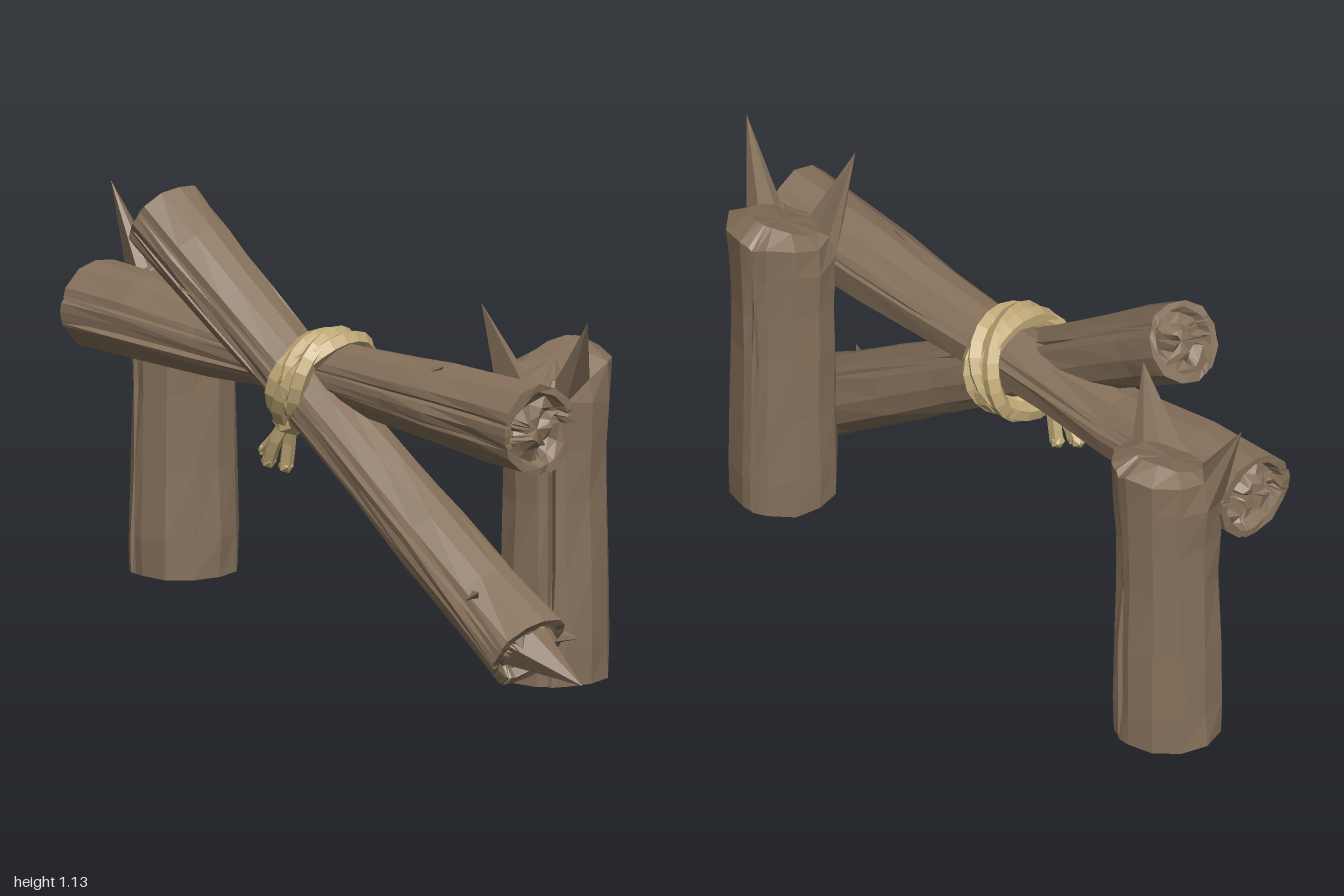
import * as THREE from 'three';

const wood = new THREE.MeshStandardMaterial({ color: 0x86715b });
wood.name = 'wood brown';
const straw = new THREE.MeshStandardMaterial({ color: 0xbfa876 });
straw.name = 'rope tan';

const V = (x, y, z) => new THREE.Vector3(x, y, z);

// seeded noise in -1..1
let seed = 7;
const noise = () => {
  seed = (seed * 16807) % 2147483647;
  return (seed / 2147483647) * 2 - 1;
};

function mesh(geometry, material, name) {
  const g = geometry.index ? geometry.toNonIndexed() : geometry;
  g.computeVertexNormals(); // faceted
  const m = new THREE.Mesh(g, material);
  m.name = name;
  return m;
}

// joins rings of equal length into one faceted skin
function skin(rings) {
  const pos = [];
  const tri = (a, b, c) => {
    if (a.distanceTo(b) < 1e-6 || b.distanceTo(c) < 1e-6 || c.distanceTo(a) < 1e-6) return;
    for (const p of [a, b, c]) pos.push(p.x, p.y, p.z);
  };
  for (let i = 0; i < rings.length - 1; i++) {
    const A = rings[i], B = rings[i + 1], n = A.length;
    for (let j = 0; j < n; j++) {
      const k = (j + 1) % n;
      tri(A[j], A[k], B[k]);
      tri(A[j], B[k], B[j]);
    }
  }
  const g = new THREE.BufferGeometry();
  g.setAttribute('position', new THREE.Float32BufferAttribute(pos, 3));
  return g;
}

// twelve columns round a log, plus three narrow ones for every crack
function columns(cracks) {
  const cols = [];
  for (let i = 0; i < 12; i++) cols.push({ a: (i * Math.PI) / 6, i });
  for (const [deg, from, to] of cracks) {
    const a = (deg * Math.PI) / 180;
    cols.push({ a: a - 0.07 }, { a, from, to }, { a: a + 0.07 });
  }
  return cols.sort((p, q) => p.a - q.a);
}
const groove = (c, t) => (c.from !== undefined && t >= c.from && t <= c.to ? 0.76 : 1);

// lying log through stations [x, y, z, radius], with hollowed rough ends
function log(stations, cracks, name) {
  const first = V(...stations[0]), last = V(...stations[stations.length - 1]);
  const d = last.clone().sub(first).normalize();
  const u = V(0, 0, 1).addScaledVector(d, -d.z).normalize();
  const v = d.clone().cross(u);
  const cols = columns(cracks);
  const ring = ([x, y, z, r], scale, shift, rough) => cols.map((c) => {
    const rr = r * scale * (1 + rough * noise());
    return V(x, y, z).addScaledVector(d, shift + rough * 0.08 * noise())
      .addScaledVector(u, Math.cos(c.a) * rr).addScaledVector(v, Math.sin(c.a) * rr);
  });
  const end = (s, sign) => [
    ring(s, 0, -sign * 0.01, 0), ring(s, 0.3, -sign * 0.004, 0.2), ring(s, 0.5, -sign * 0.035, 0.22),
    ring(s, 0.74, -sign * 0.03, 0.08), ring(s, 0.82, 0, 0.03),
  ];
  const body = stations.map((s, i) => {
    const t = i / (stations.length - 1);
    const pts = ring(s, 1, 0, 0.045);
    const c = V(s[0], s[1], s[2]);
    pts.forEach((p, j) => p.sub(c).multiplyScalar(groove(cols[j], t)).add(c));
    return pts;
  });
  return mesh(skin([...end(stations[0], -1), ...body, ...end(stations.at(-1), 1).reverse()]), wood, name);
}

// upright post; spikes maps a column number to a torn tip [x, y, z] from the post axis
function post(x, z, spikes, cracks, name) {
  const cols = columns(cracks);
  const at = (c, r, y) => V(x + Math.sin(c.a) * r, y, z + Math.cos(c.a) * r);
  const rows = [[0, 0.148], [0.1, 0.148], [0.3, 0.144], [0.5, 0.14], [0.64, 0.142], [0.77, 0.15]];
  const body = rows.map(([y, r], i) => cols.map((c) =>
    at(c, r * (1 + 0.03 * noise()) * groove(c, y), y + (i ? 0.012 * noise() : 0))));
  const back = (c) => (1 - Math.cos(c.a)) / 2;
  const rim = cols.map((c) => {
    const s = spikes[c.i];
    return s ? V(x + s[0], s[1], z + s[2]) : at(c, 0.12 + 0.038 * back(c), 0.82 + 0.05 * back(c) + 0.01 * noise());
  });
  const inner = cols.map((c) => at(c, 0.095, 0.825 + 0.08 * back(c) + 0.006 * noise()));
  const flat = (y) => cols.map(() => V(x, y, z));
  return mesh(skin([flat(0), ...body, rim, inner, flat(0.87)]), wood, name);
}

// faceted splinter from base to tip
function splinter(base, tip, r, name, sides = 5) {
  const a = V(...base), dir = V(...tip).sub(a);
  const g = new THREE.ConeGeometry(r, dir.length(), sides);
  g.translate(0, dir.length() / 2, 0);
  g.applyQuaternion(new THREE.Quaternion().setFromUnitVectors(V(0, 1, 0), dir.clone().normalize()));
  g.translate(a.x, a.y, a.z);
  return mesh(g, wood, name);
}

function rope() {
  const group = new THREE.Group();
  group.name = 'rope';
  // strands that cross each other while circling both logs
  for (let k = 0; k < 4; k++) {
    const pts = [];
    for (let i = 0; i < 12; i++) {
      const a = (i / 12) * Math.PI * 2;
      const side = 0.034 * Math.sin(a + (k * Math.PI) / 2);
      const swell = 1 + 0.06 * Math.cos(2 * a + k * 1.7);
      pts.push(V(-0.02 + 0.035 * Math.cos(a) + side, 0.692 + 0.122 * swell * Math.cos(a),
        0.085 + 0.136 * swell * Math.sin(a)));
    }
    const curve = new THREE.CatmullRomCurve3(pts, true);
    group.add(mesh(new THREE.TubeGeometry(curve, 22, 0.027, 5, true), straw, 'ropeStrand'));
  }
  // knot and frayed tail
  const knot = new THREE.IcosahedronGeometry(0.045, 0);
  knot.scale(1.2, 0.8, 1);
  knot.translate(-0.07, 0.582, 0.16);
  group.add(mesh(knot, straw, 'ropeKnot'));
  for (const [dx, dy, dz] of [[-0.035, 0.02, 0], [0, 0, 0.02], [0.035, -0.012, -0.01]]) {
    const curve = new THREE.CatmullRomCurve3([
      V(-0.075, 0.59, 0.16), V(-0.11 + dx * 0.5, 0.53, 0.155 + dz), V(-0.145 + dx, 0.462 + dy, 0.15 + dz)]);
    group.add(mesh(new THREE.TubeGeometry(curve, 4, 0.02, 5), straw, 'ropeTail'));
    const cap = new THREE.IcosahedronGeometry(0.022, 0);
    cap.translate(-0.145 + dx, 0.464 + dy, 0.15 + dz);
    group.add(mesh(cap, straw, 'ropeTailEnd'));
  }
  return group;
}

export function createModel() {
  seed = 7;
  const model = new THREE.Group();
  model.name = 'logBarrier';

  // posts with torn tops
  model.add(post(-0.785, -0.095, { 2: [0.175, 1.05, 0.075], 10: [-0.215, 1.03, 0.065] },
    [[345, 0.1, 0.5], [165, 0.1, 0.3]], 'rightPost'));
  model.add(post(0.7, -0.095, { 11: [-0.08, 1.035, 0.19], 2: [0.25, 1.03, 0.105] },
    [[45, 0.3, 0.64], [195, 0.1, 0.3]], 'leftPost'));

  // level beam
  model.add(log([
    [-0.93, 0.725, 0.085, 0.122], [-0.72, 0.725, 0.08, 0.117], [-0.45, 0.715, 0.07, 0.1],
    [-0.2, 0.718, 0.07, 0.09], [0.08, 0.72, 0.072, 0.088], [0.3, 0.722, 0.078, 0.098],
    [0.5, 0.728, 0.085, 0.112], [0.7, 0.73, 0.09, 0.118], [0.85, 0.73, 0.093, 0.125],
  ], [[15, 0.1, 0.3], [345, 0.6, 0.9], [105, 0.5, 0.8], [195, 0.2, 0.5]], 'beam'));

  // leaning log
  model.add(log([
    [-0.605, 1.04, 0.132, 0.112], [-0.47, 0.955, 0.135, 0.108], [-0.3, 0.845, 0.132, 0.1],
    [-0.12, 0.73, 0.128, 0.094], [0.06, 0.612, 0.125, 0.094], [0.25, 0.49, 0.122, 0.098],
    [0.45, 0.36, 0.118, 0.104], [0.65, 0.23, 0.112, 0.108], [0.825, 0.12, 0.108, 0.118],
  ], [[15, 0.1, 0.35], [345, 0.6, 0.9], [75, 0.5, 0.8], [225, 0.3, 0.6]], 'leaningLog'));

  // broken heartwood and loose splinters
  model.add(splinter([0.77, 0.14, 0.095], [0.99, 0.05, 0.065], 0.08, 'brokenTip', 6));
  model.add(splinter([0.8, 0.15, 0.03], [0.87, 0.14, -0.03], 0.035, 'rimSplinter'));
  model.add(splinter([0.81, 0.19, 0.11], [0.89, 0.215, 0.1], 0.035, 'rimSplinter'));
  model.add(splinter([0.7, 0.26, 0.2], [0.745, 0.285, 0.215], 0.02, 'barkChip', 3));
  model.add(splinter([-0.42, 0.9, 0.225], [-0.36, 0.88, 0.24], 0.02, 'barkChip', 3));
  model.add(splinter([0.42, 0.8, 0.12], [0.5, 0.84, 0.12], 0.025, 'barkChip', 3));

  model.add(rope());
  return model;
}
